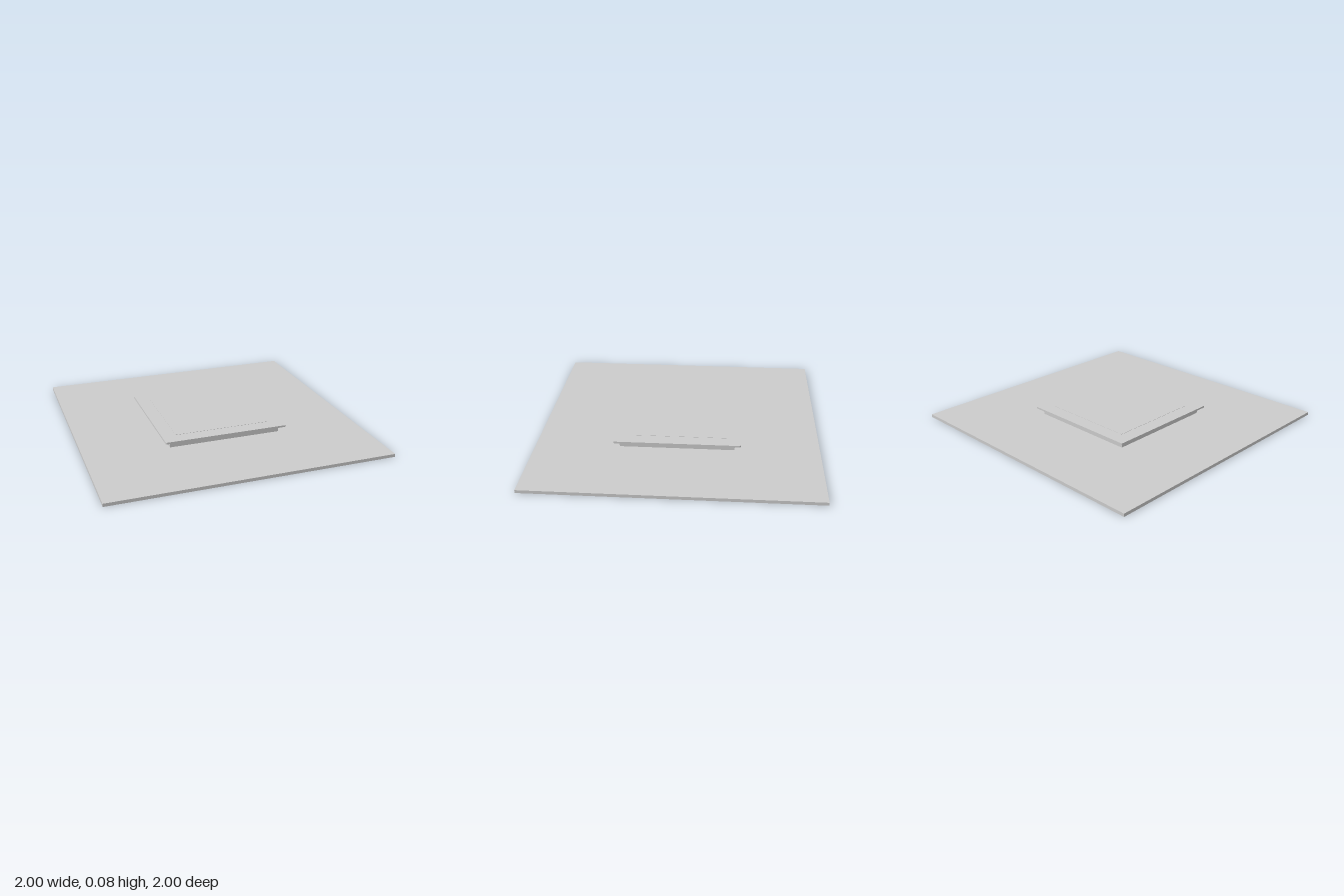
import * as THREE from 'three';

const material = new THREE.MeshStandardMaterial({ color: 0xcccccc });

// Square slab between two heights
function slab(name, size, y0, y1) {
  const mesh = new THREE.Mesh(new THREE.BoxGeometry(size, y1 - y0, size), material);
  mesh.name = name;
  mesh.position.y = (y0 + y1) / 2;
  return mesh;
}

// Square plate with small rounded corners in plan
function roundedPlate(name, size, radius, y0, y1) {
  const h = size / 2, c = h - radius;
  const shape = new THREE.Shape();
  [[c, c], [-c, c], [-c, -c], [c, -c]].forEach(([x, y], i) => {
    shape.absarc(x, y, radius, i * Math.PI / 2, (i + 1) * Math.PI / 2, false);
  });
  shape.closePath();
  const geometry = new THREE.ExtrudeGeometry(shape, { depth: y1 - y0, bevelEnabled: false, curveSegments: 4 });
  geometry.rotateX(-Math.PI / 2);
  const mesh = new THREE.Mesh(geometry, material);
  mesh.name = name;
  mesh.position.y = y0;
  return mesh;
}

export function createModel() {
  const group = new THREE.Group();
  group.name = 'steppedPlatform';
  group.add(
    slab('groundSlab', 2, 0, 0.022),
    slab('plinth', 0.81, 0.022, 0.07),
    roundedPlate('capPlate', 0.892, 0.01, 0.068, 0.081),
    // Barely raised panel on the cap
    slab('topPanel', 0.692, 0.078, 0.0825)
  );
  return group;
}
